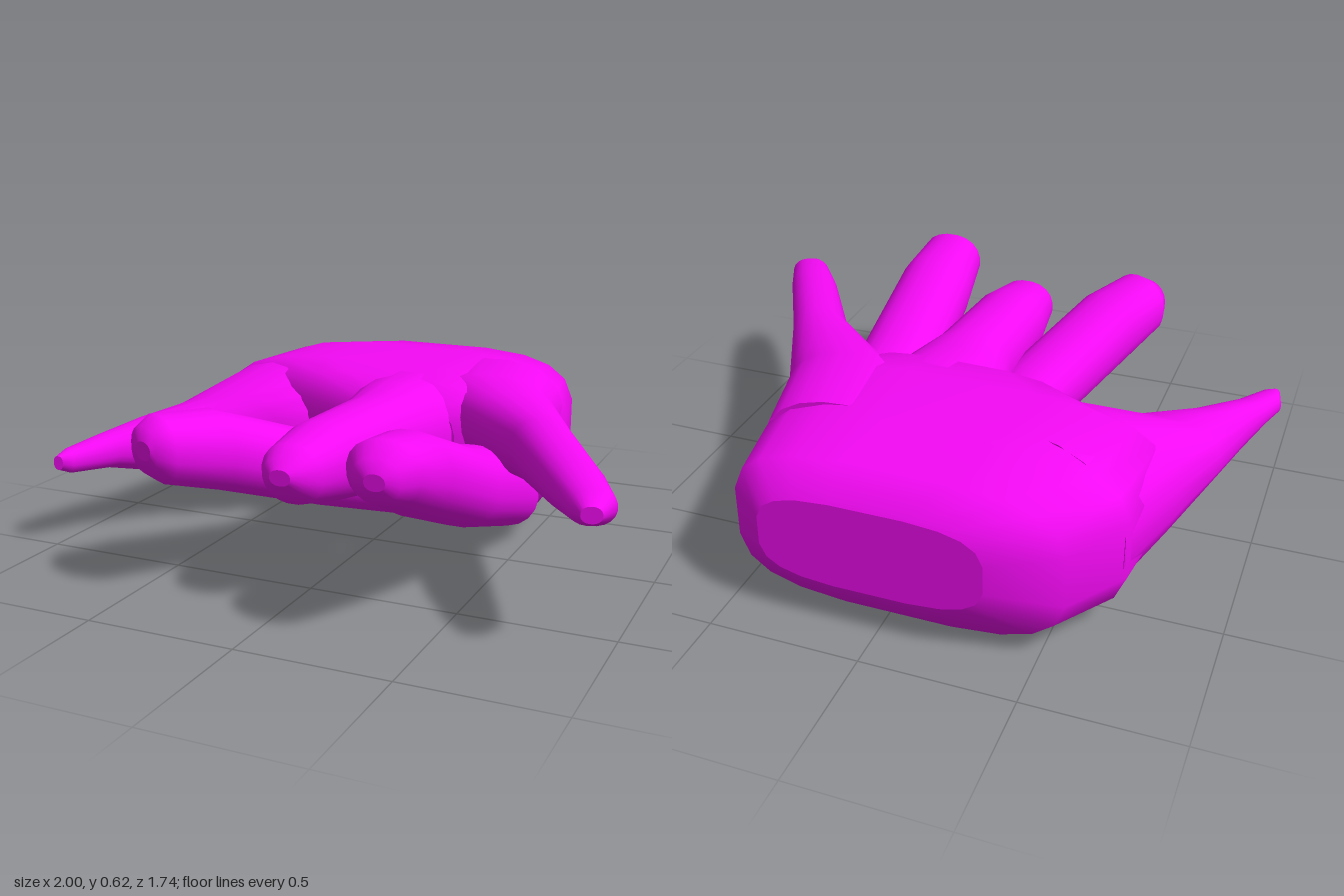
import * as THREE from 'three';

const SIDES = 20;

// Skins a row of upright rounded sections. Each row is
// [leftX, leftZ, rightX, rightZ, bottomY, topY]; e < 1 squares the section off.
function loft(rows, e = 0.9) {
  const pos = [], idx = [];
  const power = (v) => Math.sign(v) * Math.abs(v) ** e;
  const addRing = ([ax, az, bx, bz, y0, y1]) => {
    const start = pos.length / 3;
    for (let j = 0; j < SIDES; j++) {
      const a = ((j + 0.5) / SIDES) * Math.PI * 2;
      const u = power(Math.cos(a)) / 2, v = power(Math.sin(a)) / 2;
      pos.push((ax + bx) / 2 + (bx - ax) * u, (y0 + y1) / 2 + (y1 - y0) * v, (az + bz) / 2 + (bz - az) * u);
    }
    return start;
  };
  const starts = rows.map(addRing);
  for (let i = 0; i < rows.length - 1; i++) {
    for (let j = 0; j < SIDES; j++) {
      const k = (j + 1) % SIDES;
      const a = starts[i] + j, b = starts[i] + k, c = starts[i + 1] + k, d = starts[i + 1] + j;
      idx.push(a, b, c, a, c, d);
    }
  }
  // flat end caps
  [[rows[0], true], [rows[rows.length - 1], false]].forEach(([row, back]) => {
    const s = addRing(row);
    for (let j = 1; j < SIDES - 1; j++) {
      if (back) idx.push(s, s + j + 1, s + j);
      else idx.push(s, s + j, s + j + 1);
    }
  });
  const g = new THREE.BufferGeometry();
  g.setAttribute('position', new THREE.Float32BufferAttribute(pos, 3));
  g.setIndex(idx);
  g.computeVertexNormals();
  return g;
}

export function createModel() {
  const hand = new THREE.Group();
  hand.name = 'hand';
  const skin = new THREE.MeshStandardMaterial({ color: 0xf50af5 });
  const add = (name, rows, e) => {
    const mesh = new THREE.Mesh(loft(rows, e), skin);
    mesh.name = name;
    hand.add(mesh);
  };

  // palm, from the cut wrist to the webbing between the fingers
  add('palm', [
    [-0.35, -0.87, 0.38, -0.87, 0.15, 0.45],
    [-0.58, -0.8, 0.49, -0.8, 0.04, 0.56],
    [-0.71, -0.58, 0.53, -0.58, 0, 0.59],
    [-0.75, -0.28, 0.57, -0.25, 0.03, 0.59],
    [-0.45, -0.14, 0.42, -0.11, 0.09, 0.575],
    [-0.12, -0.06, 0.28, -0.05, 0.2, 0.5],
  ], 0.6);

  // thumb, flaring out of the palm's right side
  add('thumb', [
    [-0.7, -0.6, -0.1, -0.4, 0.02, 0.58],
    [-0.79, -0.3, -0.17, -0.13, 0.06, 0.55],
    [-0.87, 0, -0.39, -0.08, 0.14, 0.45],
    [-0.92, 0.18, -0.67, 0.12, 0.2, 0.41],
    [-0.97, 0.33, -0.83, 0.32, 0.25, 0.37],
    [-1, 0.43, -0.92, 0.48, 0.26, 0.345],
    [-0.985, 0.505, -0.95, 0.5, 0.28, 0.33],
  ]);

  // two fingers rising from the underside of the palm
  add('indexFinger', [
    [-0.25, -0.3, 0.1, -0.2, 0.02, 0.32],
    [-0.27, 0.13, -0.02, 0.22, 0.17, 0.43],
    [-0.44, 0.48, -0.2, 0.6, 0.31, 0.575],
    [-0.51, 0.66, -0.3, 0.78, 0.37, 0.59],
    [-0.5, 0.73, -0.36, 0.8, 0.41, 0.56],
    [-0.45, 0.78, -0.38, 0.805, 0.46, 0.52],
  ]);
  add('ringFinger', [
    [0.24, -0.25, 0.53, -0.25, 0.03, 0.33],
    [0.23, 0.2, 0.53, 0.2, 0.17, 0.45],
    [0.24, 0.6, 0.52, 0.6, 0.33, 0.6],
    [0.265, 0.79, 0.5, 0.79, 0.42, 0.62],
    [0.31, 0.85, 0.46, 0.85, 0.45, 0.58],
    [0.355, 0.87, 0.42, 0.87, 0.49, 0.54],
  ]);

  // middle finger, running on from the back of the hand
  add('middleFinger', [
    [-0.2, -0.25, 0.34, -0.25, 0.12, 0.585],
    [-0.13, -0.02, 0.26, -0.02, 0.2, 0.575],
    [-0.09, 0.14, 0.21, 0.14, 0.24, 0.565],
    [-0.1, 0.49, 0.17, 0.49, 0.3, 0.56],
    [-0.08, 0.66, 0.13, 0.66, 0.34, 0.53],
    [-0.05, 0.71, 0.1, 0.71, 0.38, 0.5],
    [-0.01, 0.74, 0.06, 0.74, 0.42, 0.47],
  ]);

  // little finger, splayed to the left
  add('littleFinger', [
    [0, -0.5, 0.52, -0.55, 0.2, 0.58],
    [0.12, -0.2, 0.58, -0.25, 0.28, 0.59],
    [0.3, -0.06, 0.66, -0.08, 0.31, 0.57],
    [0.54, 0.15, 0.76, 0.13, 0.33, 0.55],
    [0.76, 0.5, 0.93, 0.45, 0.37, 0.525],
    [0.87, 0.65, 1, 0.6, 0.39, 0.5],
    [0.92, 0.7, 0.98, 0.685, 0.42, 0.47],
  ]);

  return hand;
}
